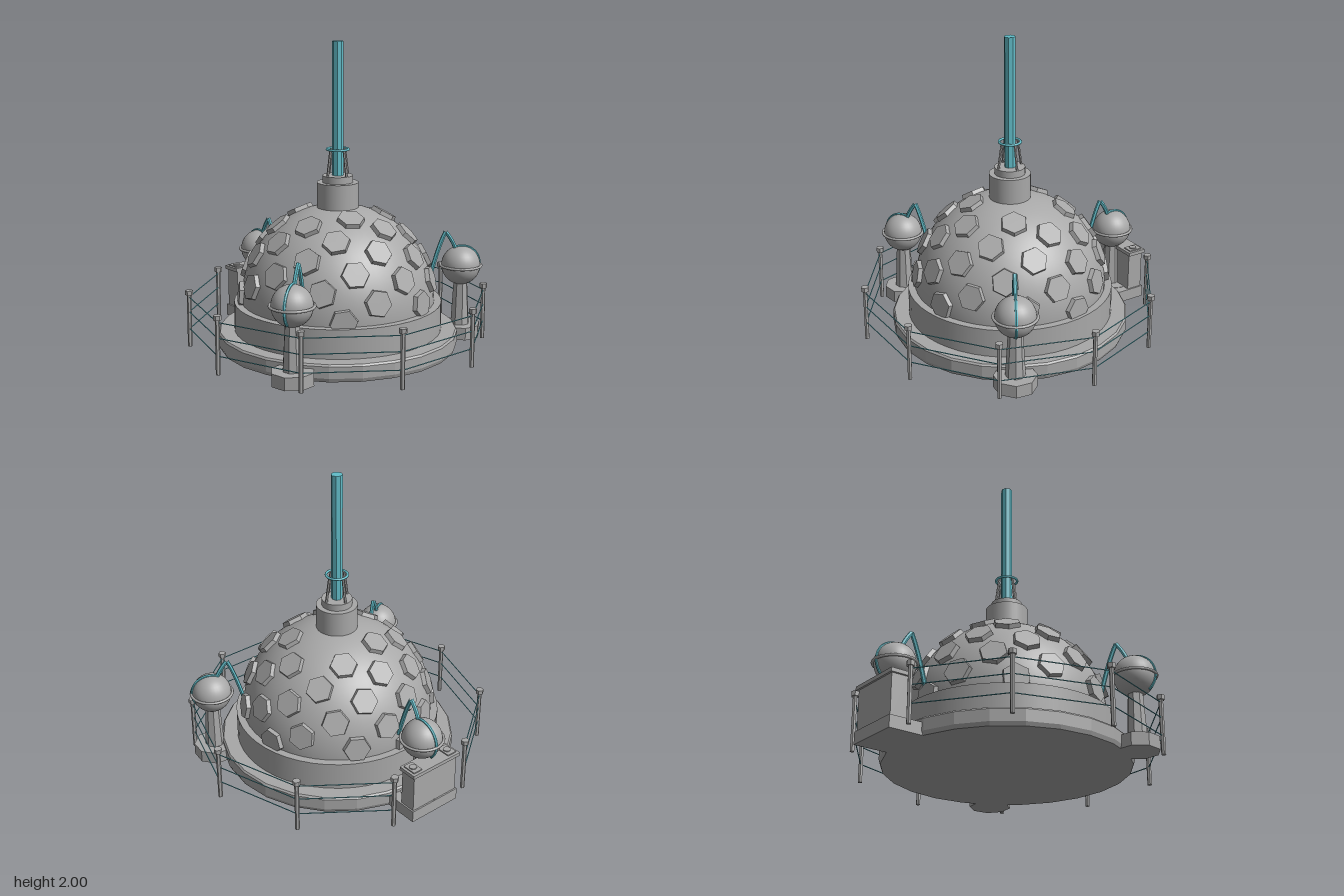
import * as THREE from 'three';

const metal = new THREE.MeshStandardMaterial({ color: 0xa8a8a8 });
metal.name = 'grey metal';
const metalFlat = metal.clone();
metalFlat.flatShading = true;
const energy = new THREE.MeshStandardMaterial({ color: 0x62bcc8 });
energy.name = 'cyan energy';
const energyFlat = energy.clone();
energyFlat.flatShading = true;

const UP = new THREE.Vector3(0, 1, 0);
const V = (x, y, z = 0) => new THREE.Vector3(x, y, z);

function add(parent, name, geometry, material, x = 0, y = 0, z = 0) {
  const mesh = new THREE.Mesh(geometry, material);
  mesh.name = name;
  mesh.position.set(x, y, z);
  parent.add(mesh);
  return mesh;
}

// Cylinder standing between two heights
function column(parent, name, rBottom, rTop, y0, y1, sides, material, x = 0, z = 0) {
  const geometry = new THREE.CylinderGeometry(rTop, rBottom, y1 - y0, sides);
  return add(parent, name, geometry, material, x, (y0 + y1) / 2, z);
}

// Thin rod between two points
function rod(parent, name, a, b, radius, sides, material) {
  const geometry = new THREE.CylinderGeometry(radius, radius, a.distanceTo(b), sides);
  const mesh = add(parent, name, geometry, material);
  mesh.position.copy(a).lerp(b, 0.5);
  mesh.quaternion.setFromUnitVectors(UP, b.clone().sub(a).normalize());
  return mesh;
}

function box(parent, name, x0, x1, y0, y1, z0, z1) {
  return add(parent, name, new THREE.BoxGeometry(x1 - x0, y1 - y0, z1 - z0), metal,
    (x0 + x1) / 2, (y0 + y1) / 2, (z0 + z1) / 2);
}

// Dome with its hexagonal plates in a golden-angle spiral
function buildDome() {
  const dome = new THREE.Group();
  dome.name = 'dome';
  dome.position.y = 0.3;
  add(dome, 'domeShell', new THREE.SphereGeometry(0.635, 48, 20, 0, Math.PI * 2, 0, Math.PI / 2), metal);
  const plate = new THREE.CylinderGeometry(0.086, 0.091, 0.03, 6);
  const count = 48;
  for (let i = 4; i < count; i++) {
    const y = 1 - i / count;
    const r = Math.sqrt(1 - y * y);
    const angle = THREE.MathUtils.degToRad(112.5 + 137.508 * (i - 4));
    const normal = V(Math.cos(angle) * r, y, Math.sin(angle) * r);
    const mesh = add(dome, 'hexPlate', plate, metalFlat);
    mesh.position.copy(normal).multiplyScalar(0.642);
    mesh.quaternion.setFromUnitVectors(UP, normal);
  }
  return dome;
}

// Mast with collar, struts and ring
function buildMast() {
  const mast = new THREE.Group();
  mast.name = 'mast';
  column(mast, 'mastCollar', 0.136, 0.136, 0.85, 1.085, 32, metal);
  column(mast, 'mastStep', 0.1, 0.1, 1.08, 1.13, 32, metal);
  for (let i = 0; i < 4; i++) {
    const a = i * Math.PI / 2;
    rod(mast, 'mastStrut', V(Math.cos(a) * 0.088, 1.12, Math.sin(a) * 0.088),
      V(Math.cos(a) * 0.06, 1.3, Math.sin(a) * 0.06), 0.009, 6, metalFlat);
  }
  const ring = add(mast, 'mastRing', new THREE.TorusGeometry(0.07, 0.008, 8, 32), energy, 0, 1.3, 0);
  ring.rotation.x = Math.PI / 2;
  column(mast, 'energyRod', 0.037, 0.037, 1.1, 1.995, 8, energyFlat);
  return mast;
}

// Sphere on a pedestal, linked to the dome by an arched conduit (local +x points outward)
function buildPod(angle) {
  const pod = new THREE.Group();
  pod.name = 'pod';
  pod.rotation.y = -angle;
  const R = 0.842, cy = 0.487;
  column(pod, 'podFoot', 0.138, 0.138, 0, 0.083, 8, metalFlat, R);
  column(pod, 'podColumn', 0.064, 0.046, 0.08, 0.4, 8, metalFlat, R);
  add(pod, 'podSphere', new THREE.SphereGeometry(0.13, 32, 20), metal, R, cy, 0);
  const band = add(pod, 'podBand', new THREE.TorusGeometry(0.137, 0.009, 8, 36), metal, R, cy, 0);
  band.rotation.x = Math.PI / 2;
  const legs = new THREE.CurvePath();
  legs.add(new THREE.QuadraticBezierCurve3(V(0.625, 0.4), V(0.685, 0.63), V(0.733, 0.72)));
  legs.add(new THREE.QuadraticBezierCurve3(V(0.733, 0.72), V(0.775, 0.67), V(0.8, 0.61)));
  legs.curves.forEach((curve) =>
    add(pod, 'conduitArch', new THREE.TubeGeometry(curve, 10, 0.014, 6), energyFlat));
  const strip = add(pod, 'conduitStrip',
    new THREE.TorusGeometry(0.131, 0.01, 6, 24, Math.PI * 0.85), energyFlat, R, cy, 0);
  strip.rotation.z = -Math.PI * 0.27;
  return pod;
}

// Ten posts with three wires, open at the back
function buildFence() {
  const fence = new THREE.Group();
  fence.name = 'fence';
  const at = (i, y) => {
    const a = i * Math.PI / 5;
    return V(Math.cos(a) * 0.976, y, Math.sin(a) * 0.976);
  };
  for (let i = 0; i < 10; i++) {
    const p = at(i, 0);
    column(fence, 'fencePost', 0.015, 0.015, 0, 0.36, 6, metalFlat, p.x, p.z);
    column(fence, 'fenceCap', 0.026, 0.026, 0.35, 0.38, 6, metalFlat, p.x, p.z);
    if (i === 7) continue;
    for (const y of [0.12, 0.235, 0.335]) {
      rod(fence, 'fenceWire', at(i, y), at(i + 1, y), 0.0035, 5, energyFlat);
    }
  }
  return fence;
}

// Control cabinet at the back
function buildCabinet() {
  const cabinet = new THREE.Group();
  cabinet.name = 'cabinet';
  box(cabinet, 'cabinetFoot', -0.19, 0.19, 0, 0.08, -0.985, -0.7);
  box(cabinet, 'cabinetBody', -0.18, 0.18, 0.05, 0.35, -0.975, -0.865);
  box(cabinet, 'cabinetTop', -0.196, 0.196, 0.34, 0.365, -0.988, -0.857);
  for (const s of [-1, 1]) {
    box(cabinet, 'cabinetPanel', s * 0.145 - 0.034, s * 0.145 + 0.034, 0.365, 0.373, -0.97, -0.875);
    column(cabinet, 'cabinetDial', 0.024, 0.024, 0.37, 0.38, 16, metal, s * 0.145, -0.922);
  }
  return cabinet;
}

export function createModel() {
  const model = new THREE.Group();
  model.name = 'domeStation';
  model.position.z = 0.013;

  // Stepped foundation
  column(model, 'baseSlab', 0.78, 0.79, 0, 0.025, 24, metalFlat);
  column(model, 'baseRim', 0.79, 0.79, 0.025, 0.1, 24, metalFlat);
  column(model, 'baseBevel', 0.79, 0.78, 0.1, 0.112, 24, metalFlat);
  column(model, 'drum', 0.683, 0.683, 0.1, 0.3, 48, metal);

  model.add(buildDome(), buildMast(), buildFence(), buildCabinet());
  for (const degrees of [30, 150, 270]) {
    model.add(buildPod(THREE.MathUtils.degToRad(degrees)));
  }

  const root = new THREE.Group();
  root.name = 'model';
  root.add(model);
  return root;
}
